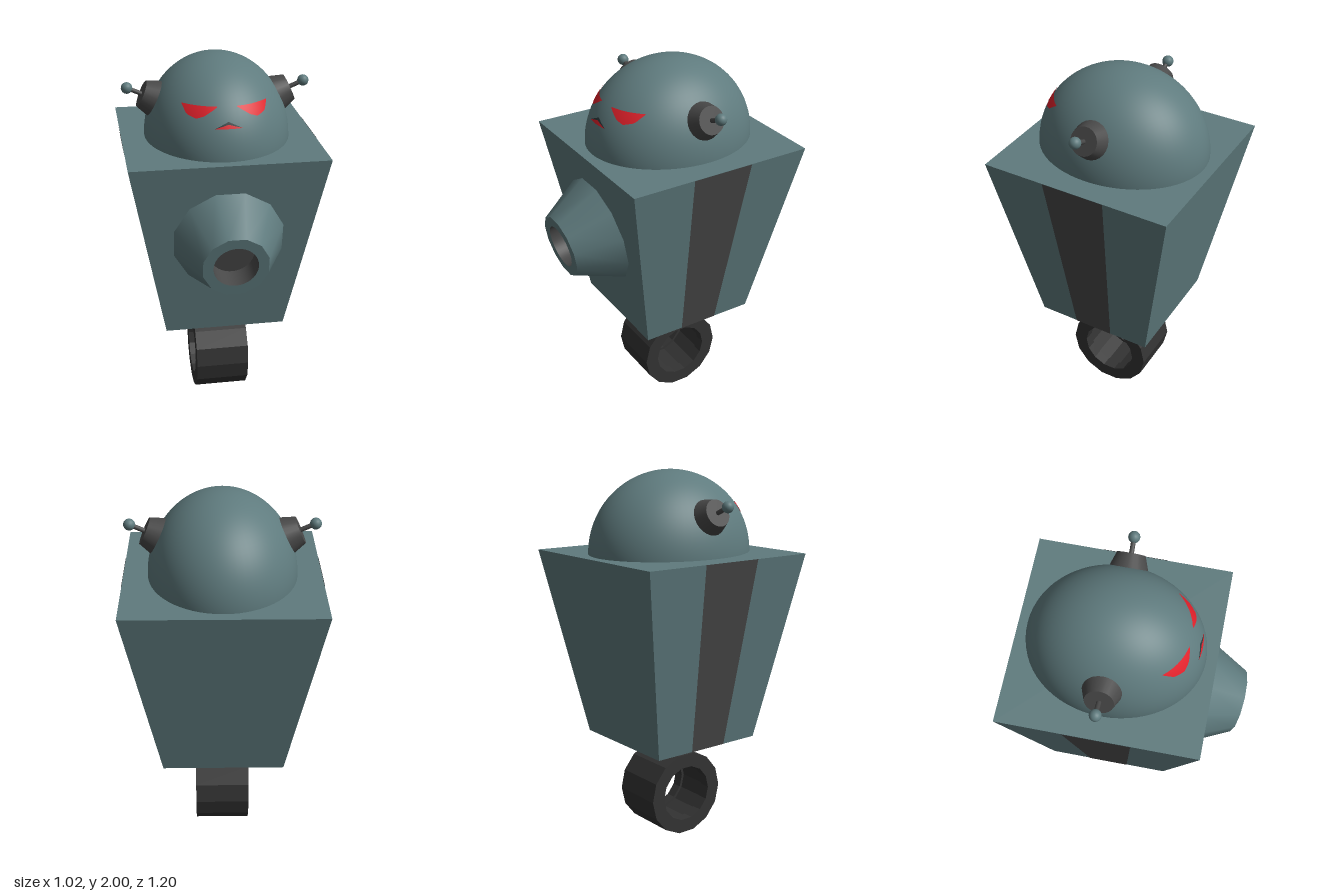
import * as THREE from 'three';

const mat = (color, flatShading = false) =>
  new THREE.MeshStandardMaterial({ color, flatShading, side: THREE.DoubleSide });
const TEAL = 0x5f7b7e, DARK = 0x484848, BLACK = 0x333333, RED = 0xe0202a;

const CENTRE_Z = -0.09, BASE = 0.545, TOP = 1.565;
const DOME = new THREE.Vector3(0.385, 0.435, 0.455);

function add(parent, name, geometry, material, x = 0, y = 0, z = 0) {
  const m = new THREE.Mesh(geometry, material);
  m.name = name;
  m.position.set(x, y, z);
  parent.add(m);
  return m;
}

// piecewise linear height through [x, y] points
function heightAt(pts, x) {
  for (let i = 1; i < pts.length; i++) {
    const [x0, y0] = pts[i - 1], [x1, y1] = pts[i];
    if (x <= x1 + 1e-6) return y0 + (y1 - y0) * (x - x0) / (x1 - x0);
  }
  return pts[pts.length - 1][1];
}

// patch lying on the front of the dome between a lower and an upper outline
function domePatch(lower, upper, side = 1, lift = 0.004) {
  const g = new THREE.PlaneGeometry(1, 1, 24, 6), p = g.attributes.position;
  const x0 = lower[0][0], x1 = lower[lower.length - 1][0];
  for (let i = 0; i < p.count; i++) {
    const x = x0 + (x1 - x0) * (p.getX(i) + 0.5);
    const a = heightAt(lower, x), b = heightAt(upper, x);
    const y = a + (b - a) * (p.getY(i) + 0.5);
    const s = 1 - (x / DOME.x) ** 2 - ((y - TOP) / DOME.y) ** 2;
    p.setXYZ(i, x * side, y, DOME.z * Math.sqrt(Math.max(0, s)) + lift);
  }
  // mirrored patches get their winding reversed
  if (side < 0) g.setIndex(Array.from(g.index.array).reverse());
  g.computeVertexNormals();
  return g;
}

export function createModel() {
  const root = new THREE.Group();
  const robot = new THREE.Group();
  robot.name = 'robot';
  robot.position.z = CENTRE_Z;
  root.add(robot);
  const teal = mat(TEAL), tealFlat = mat(TEAL, true), dark = mat(DARK), red = mat(RED);

  // tapered body
  const body = new THREE.CylinderGeometry(0.51 * Math.SQRT2, 0.325 * Math.SQRT2, TOP - BASE, 4);
  body.rotateY(Math.PI / 4);
  add(robot, 'body', body, tealFlat, 0, (TOP + BASE) / 2);

  // dark panels down the middle third of each flank
  for (const side of [1, -1]) {
    const g = new THREE.PlaneGeometry(1, 1), p = g.attributes.position;
    for (let i = 0; i < p.count; i++) {
      const t = p.getY(i) + 0.5, half = 0.325 + 0.185 * t;
      p.setXYZ(i, half + 0.002, BASE + t * (TOP - BASE), -p.getX(i) * half * 2 / 3);
    }
    g.computeVertexNormals();
    add(robot, 'sidePanel', g, dark).rotation.y = side > 0 ? 0 : Math.PI;
  }

  // dome head
  const dome = new THREE.SphereGeometry(1, 64, 24, 0, Math.PI * 2, 0, Math.PI / 2);
  dome.scale(DOME.x, DOME.y, DOME.z);
  add(robot, 'head', dome, teal, 0, TOP);

  // slanted eyes and mouth
  const eyeLow = [[0.05, 1.822], [0.115, 1.782], [0.155, 1.768], [0.198, 1.783], [0.215, 1.822]];
  const eyeTop = [[0.05, 1.825], [0.215, 1.825]];
  for (const side of [1, -1]) add(robot, 'eye', domePatch(eyeLow, eyeTop, side), red);
  const mouthLow = [[-0.068, 1.728], [0.068, 1.728]];
  const arch = (h) => [[-0.068, 1.729], [0, h], [0.068, 1.729]];
  add(robot, 'mouthShadow', domePatch(mouthLow, arch(1.76)), mat(0x2c3a3c));
  add(robot, 'mouth', domePatch(mouthLow, arch(1.748), 1, 0.006), red);

  // ears with antennae, tilted upwards
  for (const side of [1, -1]) {
    const ear = new THREE.Group();
    ear.name = side > 0 ? 'leftEar' : 'rightEar';
    ear.position.set(side * 0.32, 1.765, 0);
    ear.rotation.z = -side * THREE.MathUtils.degToRad(66);
    robot.add(ear);
    add(ear, 'earCone', new THREE.CylinderGeometry(0.072, 0.1, 0.08, 24), dark, 0, 0.04);
    add(ear, 'antennaRod', new THREE.CylinderGeometry(0.012, 0.012, 0.09, 12), dark, 0, 0.115);
    add(ear, 'antennaBall', new THREE.SphereGeometry(0.03, 20, 14), teal, 0, 0.163);
  }

  // nozzle set square to the sloping front
  const nozzle = new THREE.Group();
  nozzle.name = 'nozzle';
  nozzle.position.set(0, 1.125, 0.425);
  nozzle.rotation.x = THREE.MathUtils.degToRad(10);
  robot.add(nozzle);
  const len = 0.24, rim = 0.173, bore = 0.115, depth = 0.12;
  const cone = new THREE.CylinderGeometry(rim, 0.297, len, 12, 1, true);
  cone.rotateY(Math.PI / 12).rotateX(Math.PI / 2);
  add(nozzle, 'nozzleCone', cone, teal, 0, 0, len / 2);
  const face = new THREE.Shape();
  for (let i = 0; i < 12; i++) {
    const a = (i + 0.5) * Math.PI / 6;
    face[i ? 'lineTo' : 'moveTo'](rim * Math.cos(a), rim * Math.sin(a));
  }
  face.closePath();
  face.holes.push(new THREE.Path().absarc(0, 0, bore, 0, Math.PI * 2, true));
  add(nozzle, 'nozzleRim', new THREE.ShapeGeometry(face, 24), teal, 0, 0, len);
  const lining = new THREE.CylinderGeometry(bore, bore, depth, 48, 1, true);
  lining.rotateX(Math.PI / 2);
  add(nozzle, 'nozzleBore', lining, dark, 0, 0, len - depth / 2);
  add(nozzle, 'nozzleBack', new THREE.CircleGeometry(bore, 48), dark, 0, 0, len - depth);

  // strut down to the wheel
  add(robot, 'strut', new THREE.BoxGeometry(0.155, 0.15, 0.19), tealFlat, 0, 0.475);

  // hollow wheel with a shallow groove inside
  const profile = [
    [0.155, -0.148], [0.232, -0.148], [0.232, 0.148], [0.155, 0.148],
    [0.155, 0.09], [0.17, 0.09], [0.17, -0.09], [0.155, -0.09], [0.155, -0.148],
  ].map(([r, h]) => new THREE.Vector2(r, h));
  const wheel = new THREE.LatheGeometry(profile, 14);
  wheel.rotateZ(Math.PI / 2);
  add(robot, 'wheel', wheel, mat(BLACK, true), 0.004, 0.23);

  return root;
}
